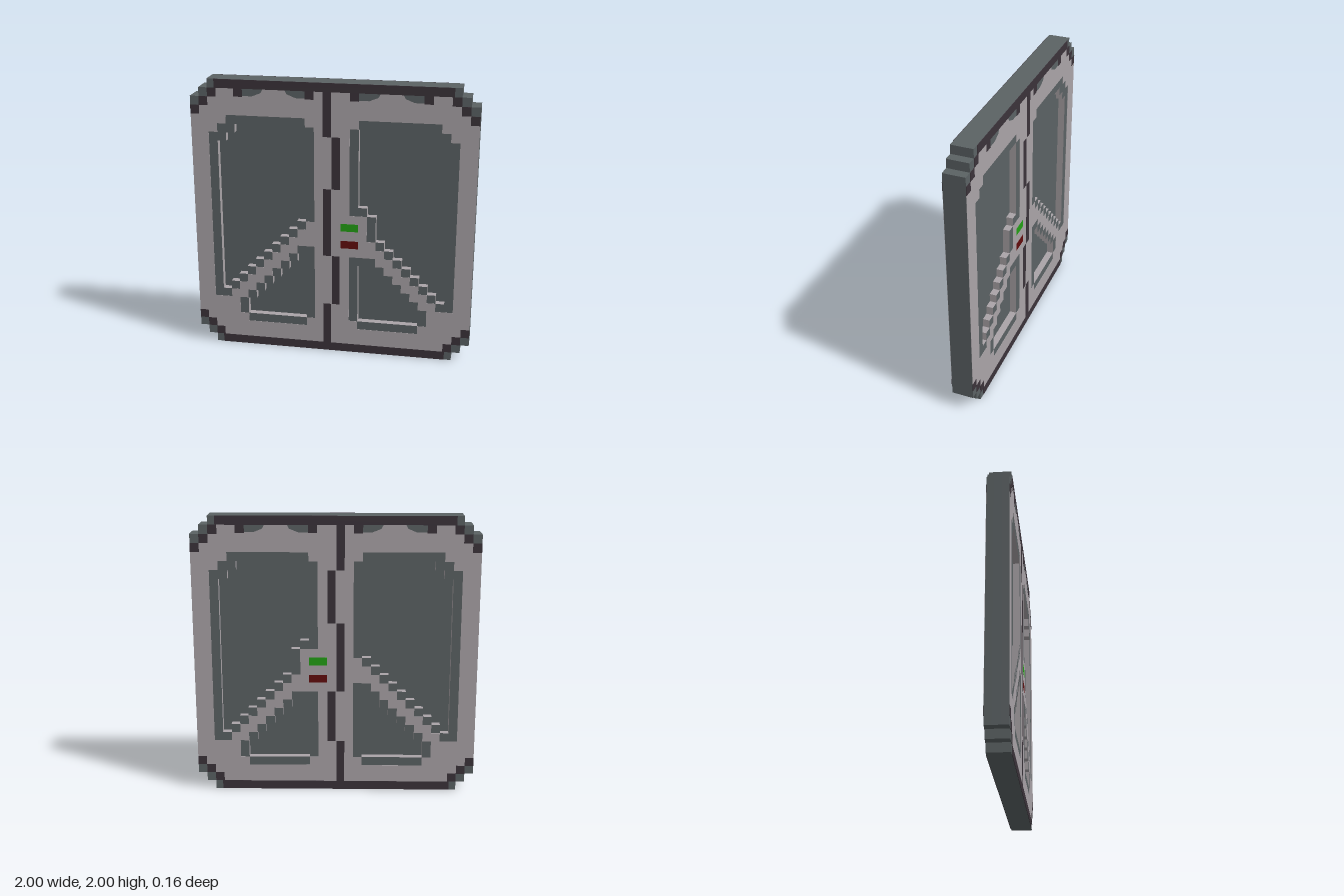
import * as THREE from 'three';

const U = 1 / 16;          // one grid cell
const HALF = 0.076;        // half thickness of the door body
const CORE = 0.027;        // half thickness at the sunken windows
const PAINT = 0.002;       // thickness of painted plates

const mat = (name, color) => {
  const m = new THREE.MeshStandardMaterial({ color });
  m.name = name;
  return m;
};

// points given in grid cells, counted from the lower right-hand corner of the door
const toPoints = (cells) => cells.map(([x, y]) => new THREE.Vector2(x * U - 1, y * U));

// stepped outline made of one-cell columns, each with a bottom and a top
function columns(start, bottoms, tops) {
  const cells = [];
  const add = (x, y) => {
    const last = cells[cells.length - 1];
    if (!last || last[0] !== x || last[1] !== y) cells.push([x, y]);
  };
  bottoms.forEach((b, i) => { add(start + i, b); add(start + i + 1, b); });
  for (let i = tops.length - 1; i >= 0; i--) { add(start + i + 1, tops[i]); add(start + i, tops[i]); }
  return toPoints(cells);
}

const rect = (x0, y0, x1, y1) => toPoints([[x0, y0], [x1, y0], [x1, y1], [x0, y1]]);
const fill = (n, v) => Array(n).fill(v);

function extrude(points, holes, depth) {
  const shape = new THREE.Shape(points);
  shape.holes = holes.map((h) => new THREE.Path(h));
  return new THREE.ExtrudeGeometry(shape, { depth, bevelEnabled: false });
}

export function createModel() {
  const door = new THREE.Group();
  door.name = 'slidingDoor';
  const body = mat('slate grey', 0x5b6264);
  const light = mat('pale grey', 0xaaa4a8);
  const dark = mat('dark plum', 0x3b333a);
  const green = mat('green', 0x22a014);
  const red = mat('dark red', 0x620c0c);

  const addMesh = (name, geometry, material, z) => {
    const mesh = new THREE.Mesh(geometry, material);
    mesh.name = name;
    mesh.position.z = z;
    door.add(mesh);
  };
  // the same thin plate on the front and the back
  const paint = (name, points, material, layer = 0, holes = []) => {
    const thick = PAINT + layer * 0.001;
    const geometry = extrude(points, holes, thick);
    addMesh(name + 'Front', geometry, material, HALF);
    addMesh(name + 'Back', geometry, material, -HALF - thick);
  };

  // stepped door outline
  const outline = columns(0, [2, 1, ...fill(28, 0), 1, 2], [30, 31, ...fill(28, 32), 31, 30]);

  // sunken windows
  const recesses = [
    columns(3, [7, 8, 9, 10, 11, 12, 13, 14, 15, 16], [25, 26, ...fill(8, 27)]),
    columns(19, [18, 17, 14, 13, 12, 11, 10, 9, 8, 7], [...fill(8, 27), 26, 25]),
    columns(6, fill(7, 4), [6, 7, 8, 9, 10, 11, 12]),
    columns(19, fill(7, 4), [11, 11, 10, 9, 8, 7, 6]),
  ];

  // openings of the pale frame, leaving a slate border round each window
  const borders = [
    columns(2, [6, 6, 7, 8, 9, 10, 11, 12, 13, 14, 15, 16], [26, 27, ...fill(9, 28), 27]),
    columns(18, [17, 17, 14, 13, 12, 11, 10, 9, 8, 7, 6, 6], [27, ...fill(9, 28), 27, 26]),
    columns(5, [4, ...fill(7, 3), 4], [6, 7, 8, 9, 10, 11, 12, 13, 13]),
    columns(18, [4, ...fill(7, 3), 4], [12, 12, 12, 11, 10, 9, 8, 7, 6]),
  ];

  // core slab and the two rims with window openings (pale inner walls)
  addMesh('core', extrude(outline, [], CORE * 2), body, -CORE);
  const rim = extrude(outline, recesses, HALF - CORE);
  const caps = rim.groups[0].count;
  const outer = caps + outline.length * 6;
  rim.clearGroups();
  rim.addGroup(0, outer, 0);
  rim.addGroup(outer, rim.attributes.position.count - outer, 1);
  addMesh('rimFront', rim, [body, light], CORE);
  addMesh('rimBack', rim, [body, light], -HALF);

  // pale frame
  const frame = columns(0, [4, 3, 2, ...fill(26, 1), 2, 3, 4], [28, 29, 30, ...fill(26, 31), 30, 29, 28]);
  paint('frame', frame, light, 0, borders);

  // dark bands along top and bottom, and stepped corner marks
  paint('topBand', rect(2.8, 31, 29.2, 32), dark, 1);
  paint('bottomBand', rect(2.8, 0, 29.2, 1), dark, 1);
  for (let i = 0; i < 3; i++) {
    for (const x of [i, 31 - i]) {
      paint('upperCornerMark', rect(x, 28 + i, x + 1, 29 + i), dark, 1);
      paint('lowerCornerMark', rect(x, 3 - i, x + 1, 4 - i), dark, 1);
    }
  }

  // zigzag seam between the two leaves
  [[15, 26, 31], [16, 20, 26], [15, 12, 20], [16, 6, 12], [15, 1, 6]].forEach(([x, y0, y1]) =>
    paint('seam', rect(x, y0, x + 0.92, y1), dark, 1));

  // tabs and worn patches under the top band
  for (const x of [5, 13, 18, 26]) paint('tab', rect(x, 30.1, x + 1, 31), dark, 1);
  for (const x of [6, 19]) {
    paint('wornPatch', toPoints([[x, 30.2], [x + 1.1, 30.2], [x + 2.1, 30.6], [x + 2.3, 31], [x, 31]]), body, 1);
    paint('wornPatch', toPoints([[x + 4.8, 31], [x + 5, 30.6], [x + 6, 30.2], [x + 7, 30.2], [x + 7, 31]]), body, 1);
  }

  // indicator lights
  paint('greenLight', rect(17, 15.1, 19, 16), green, 1);
  paint('redLight', rect(17, 13.05, 19, 13.95), red, 1);

  return door;
}
